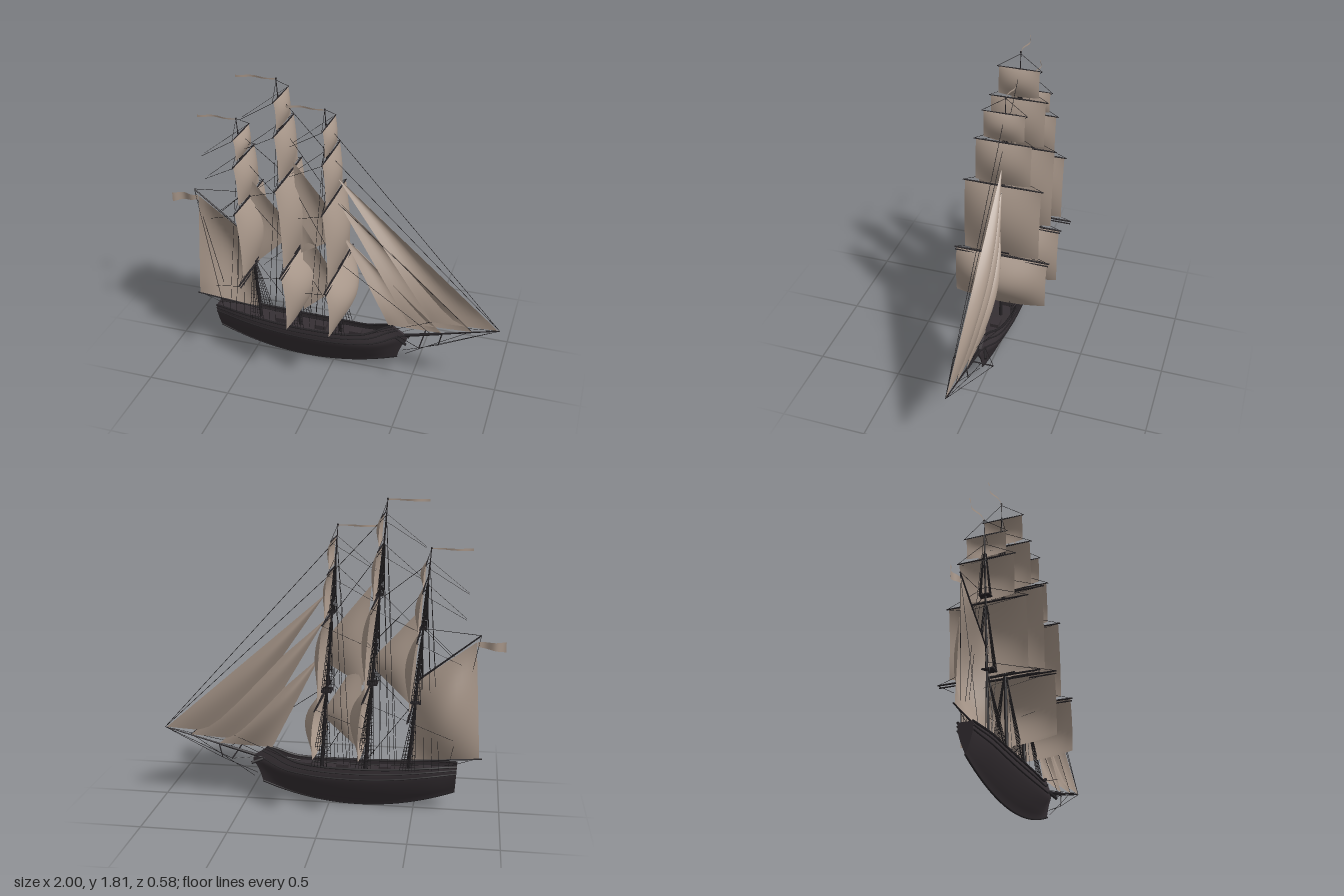
import * as THREE from 'three';
import { mergeGeometries } from 'three/addons/utils/BufferGeometryUtils.js';

const V = (x, y, z = 0) => new THREE.Vector3(x, y, z);
const paint = (color) => new THREE.MeshStandardMaterial({ color, side: THREE.DoubleSide });
const hullMat = paint(0x352f33), sparMat = paint(0x252225), ropeMat = paint(0x1c1a1c), sailMat = paint(0xa8978a);

// Smooth sheet: fn(u, v) -> Vector3
function sheet(fn, nu, nv) {
  const pos = [], idx = [];
  for (let i = 0; i <= nu; i++) for (let j = 0; j <= nv; j++) {
    pos.push(...fn(i / nu, j / nv).toArray());
    const a = i * (nv + 1) + j, b = a + nv + 1;
    if (i < nu && j < nv) idx.push(a, b, a + 1, b, b + 1, a + 1);
  }
  const g = new THREE.BufferGeometry();
  g.setAttribute('position', new THREE.Float32BufferAttribute(pos, 3));
  g.setIndex(idx);
  g.computeVertexNormals();
  return g;
}

// Tapered rod from a to b
function rod(a, b, ra, rb = ra, sides = 8) {
  const d = b.clone().sub(a);
  const g = new THREE.CylinderGeometry(rb, ra, d.length(), sides, 1, sides < 5);
  g.applyQuaternion(new THREE.Quaternion().setFromUnitVectors(V(0, 1, 0), d.normalize()));
  const m = a.clone().add(b).multiplyScalar(0.5);
  return g.translate(m.x, m.y, m.z);
}

// Four-cornered (or, with a == b, three-cornered) fore-and-aft sail bellied toward -z
function foreAft(a, b, c, d, belly) {
  return sheet((u, v) => {
    const p = a.clone().lerp(b, u).lerp(d.clone().lerp(c, u), v);
    p.z -= belly * Math.sin(Math.PI * u) * Math.sin(Math.PI * v);
    return p;
  }, 12, 16);
}

// Ribbon streaming aft from the point p
function pennant(p, length, h0, h1) {
  return sheet((u, v) => V(p.x - length * u, p.y - v * (h0 + (h1 - h0) * u),
    0.014 * Math.sin(u * 8) * Math.sqrt(u)), 20, 1);
}

// Hull: sheer height and half breadth at equal steps from stern to bow
const lines = new THREE.SplineCurve([[.275, .042], [.268, .068], [.255, .08], [.247, .085], [.245, .085],
  [.248, .078], [.265, .055], [.33, .008]].map(([a, b]) => new THREE.Vector2(a, b)));
const section = new THREE.SplineCurve([[0, .05], [.25, .42], [.5, .75], [.75, .97], [1, .93]]
  .map(([a, b]) => new THREE.Vector2(a, b)));
const bowShape = new THREE.SplineCurve([[0, .4], [.33, .425], [.66, .455], [1, .37]]
  .map(([a, b]) => new THREE.Vector2(a, b)));

function hullPoint(u, s, side, swell = 1) {
  const x = THREE.MathUtils.lerp(-0.74 - 0.01 * s, bowShape.getPoint(s).y, u);
  const l = lines.getPoint(u);
  const keel = 0.11 * ((x + 0.17) / 0.57) ** 2;
  return V(x, THREE.MathUtils.lerp(Math.min(keel, 0.12), l.x, s), side * swell * l.y * section.getPoint(s).y);
}

export function createModel() {
  const ship = new THREE.Group();
  ship.name = 'sailingShip';
  const add = (name, geo, mat, parent = ship) => {
    const m = new THREE.Mesh(Array.isArray(geo) ? mergeGeometries(geo) : geo, mat);
    m.name = name;
    parent.add(m);
    return m;
  };

  // Hull shell, ends, deck and mouldings
  for (const side of [1, -1]) {
    const tag = side > 0 ? 'Left' : 'Right';
    add('hullSide' + tag, sheet((u, s) => hullPoint(u, s, side), 40, 14), hullMat);
    for (const [s, r] of [[1, .007], [.88, .005], [.74, .005]]) {
      const pts = Array.from({ length: 20 }, (_, i) => hullPoint(i / 19, s, side, 1.02));
      add('moulding' + tag, new THREE.TubeGeometry(new THREE.CatmullRomCurve3(pts), 40, r, 6), sparMat);
    }
    // Catheads at the bow
    add('cathead' + tag, rod(V(.38, .26, side * .01), V(.46, .235, side * .04), .009, .009, 6), sparMat);
  }
  for (const [name, u] of [['transom', 0], ['stem', 1]])
    add(name, sheet((s, t) => hullPoint(u, s, 1).lerp(hullPoint(u, s, -1), t), 14, 2), hullMat);
  add('deck', sheet((u, t) => hullPoint(u, .86, 1).lerp(hullPoint(u, .86, -1), t), 40, 2), hullMat);
  const keelPts = Array.from({ length: 16 }, (_, i) => hullPoint(i / 15, 0, 0));
  add('keel', new THREE.TubeGeometry(new THREE.CatmullRomCurve3(keelPts), 40, .006, 6), sparMat);
  for (const x of [-.62, -.33, -.08, .14])
    add('deckHouse', new THREE.BoxGeometry(.07, .03, .05).translate(x, .232, 0), hullMat);

  // Masts: foot, truck, yard heights from course to royal
  const masts = [
    { name: 'foreMast', foot: V(.045, .22), top: V(-.05, 1.655), yards: [.665, 1.13, 1.4, 1.575], course: true },
    { name: 'mainMast', foot: V(-.213, .22), top: V(-.325, 1.8), yards: [.72, 1.235, 1.53, 1.71], course: true },
    { name: 'mizzenMast', foot: V(-.468, .22), top: V(-.57, 1.535), yards: [.62, 1.05, 1.31, 1.455], course: false },
  ];
  const yardHalf = [.29, .237, .173, .13], bellies = [.09, .058, .036, .027], drops = [.03, .012, .01, .008];
  const on = (m, y, z = 0, dx = 0) => {
    const t = (y - m.foot.y) / (m.top.y - m.foot.y);
    return V(m.foot.x + t * (m.top.x - m.foot.x) + dx, y, z);
  };

  masts.forEach((m) => {
    const g = new THREE.Group();
    g.name = m.name;
    ship.add(g);
    const Y = m.yards, ropes = [];
    const rope = (a, b, r = .0013) => ropes.push(rod(a, b, r, r, 4));
    add('mastPole', [rod(m.foot, on(m, Y[0] + .08), .011, .009), rod(on(m, Y[0]), on(m, Y[1] + .06), .008, .006),
      rod(on(m, Y[1]), on(m, Y[3]), .006, .004), rod(on(m, Y[3]), m.top, .003, .002)], sparMat, g);
    add('truck', new THREE.SphereGeometry(.006, 8, 6).translate(m.top.x, m.top.y, 0), sparMat, g);
    add('pennant', pennant(m.top, .23, .006, .014), sailMat, g);

    Y.forEach((y, i) => {
      // Yard tapering to both arms
      const c = on(m, y, 0, .018), r = [.0075, .006, .005, .004][i];
      add('yard', [1, -1].map((s) => rod(c, V(c.x, y, s * yardHalf[i]), r, r * .6)), sparMat, g);
      if (i === 0) add('studdingBoom', [1, -1].map((s) =>
        rod(V(c.x + .008, y - .012, s * .13), V(c.x + .008, y - .012, s * .285), .004)), sparMat, g);
      // Square sail bellied forward
      if (i > 0 || m.course) {
        const bottom = i ? Y[i - 1] + .022 : .365, w = yardHalf[i] - .013;
        add('squareSail', sheet((u, v) => {
          const s = u * 2 - 1, k = 1 - s * s;
          const p = on(m, y + (bottom - y) * v - drops[i] * k * v * v, s * w, .02);
          p.x += bellies[i] * (.15 + .85 * k) * Math.sin(Math.PI * v ** .9);
          return p;
        }, 16, 16), sailMat, g);
      }
      // Braces led aft, lifts up to the mast
      for (const s of [1, -1]) {
        rope(V(c.x, y, s * yardHalf[i]), V(c.x - .24, y - .17, s * (i ? .02 : .08)));
        rope(V(c.x, y, s * yardHalf[i]), on(m, y + .08));
      }
    });

    // Tops and crosstrees
    const tops = [[Y[0] + .03, .05], [Y[1] + .03, .032]];
    for (const [y, h] of tops) {
      const p = on(m, y);
      add('platform', new THREE.BoxGeometry(h * 1.3, .008, h * 2).translate(p.x, y, 0), sparMat, g);
    }

    // Shrouds with ratlines: foot height, spread in z, spread aft and forward, head height
    const flights = [[.25, .083, -.04, .05, Y[0]], [tops[0][0], .048, -.03, .025, Y[1] - .03],
      [tops[1][0], .03, -.02, .012, Y[2] + .02]];
    for (const side of [1, -1]) for (const [y0, z0, back, fwd, y1] of flights) {
      const foot = (t) => on(m, y0, side * z0, back + (fwd - back) * t);
      const head = (t) => on(m, y1, side * .008, (t - .5) * .012);
      for (let k = 0; k < 6; k++) rope(foot(k / 5), head(k / 5), .0016);
      const n = Math.floor((y1 - y0) / .022);
      for (let k = 1; k < n; k++)
        rope(foot(0).lerp(head(0), k / n), foot(1).lerp(head(1), k / n), .0012);
    }
    // Backstays to the rail
    for (const side of [1, -1]) for (const [y, dx] of [[Y[1], -.09], [Y[2], -.14], [Y[3], -.18]])
      rope(on(m, y), V(m.foot.x + dx, .255, side * .065));
    add('rigging', ropes, ropeMat, g);
  });
  const [fore, main, mizzen] = masts;

  // Bowsprit, spritsail yard and striker
  const tip = V(.995, .42), sprit = (x) => V(x, .26 + (x - .4) * .269);
  add('bowsprit', [rod(sprit(.3), sprit(.65), .011, .008), rod(sprit(.6), tip, .006, .003)], sparMat);
  add('spritsailYard', rod(V(.555, .288, -.12), V(.555, .288, .12), .004), sparMat);
  add('striker', rod(sprit(.665), V(.645, .245), .004, .003), sparMat);

  // Gaff, boom, spanker and ensign
  add('gaff', rod(on(mizzen, .775), V(-.86, 1.05), .006, .004), sparMat);
  add('boom', rod(on(mizzen, .285), V(-.89, .318), .006, .004), sparMat);
  add('spanker', foreAft(V(-.835, 1.01), V(-.515, .775), V(-.485, .29), V(-.875, .32), .09), sailMat);
  add('ensign', pennant(V(-.84, 1.012), .16, .028, .058), sailMat);

  // Headsails: head, tack, clew
  for (const [h, t, c] of [[V(.02, 1.26), V(.985, .42), V(.6, .4)], [V(.025, 1.11), V(.84, .38), V(.46, .36)],
    [V(.055, .89), V(.66, .335), V(.34, .325)]])
    add('headsail', foreAft(h, h, t, c, .055), sailMat);

  // Staysails between the masts
  add('mainStaysail', foreAft(V(-.24, 1.32), V(-.005, 1.03), V(0, .85), V(-.2, .73), .03), sailMat);
  add('lowerStaysail', foreAft(V(-.19, .92), V(.03, .57), V(.02, .52), V(-.19, .33), .03), sailMat);
  add('mizzenStaysail', foreAft(V(-.51, 1.18), V(-.265, .91), V(-.265, .83), V(-.49, .61), .03), sailMat);

  // Stays along the centreline and sheets at both ends
  const stays = [[on(fore, 1.575), tip], [on(fore, 1.4), tip], [on(fore, 1.13), sprit(.84)], [on(fore, .72), sprit(.6)],
    [on(main, 1.71), on(fore, 1.4)], [on(main, 1.53), on(fore, 1.13)], [on(main, 1.235), on(fore, .7)],
    [on(main, .75), on(fore, .27)], [on(mizzen, 1.455), on(main, 1.235)], [on(mizzen, 1.31), on(main, 1.0)],
    [on(mizzen, 1.05), on(main, .74)], [on(mizzen, .65), on(main, .27)],
    [tip, V(.645, .245)], [V(.645, .245), V(.43, .16)], [sprit(.82), V(.45, .14)],
    [V(-.86, 1.05), on(mizzen, 1.08)], [V(-.7, .92), on(mizzen, 1.08)], [V(-.85, .315), V(-.72, .27)]];
  for (const s of [1, -1]) stays.push([V(.555, .288, s * .12), tip], [V(.555, .288, s * .12), V(.4, .27, s * .015)],
    [V(-.86, 1.05), V(-.7, .275, s * .045)], [V(.6, .4), V(.2, .26, s * .055)]);
  add('stays', stays.map(([a, b]) => rod(a, b, .0015, .0015, 4)), ropeMat);
  return ship;
}
